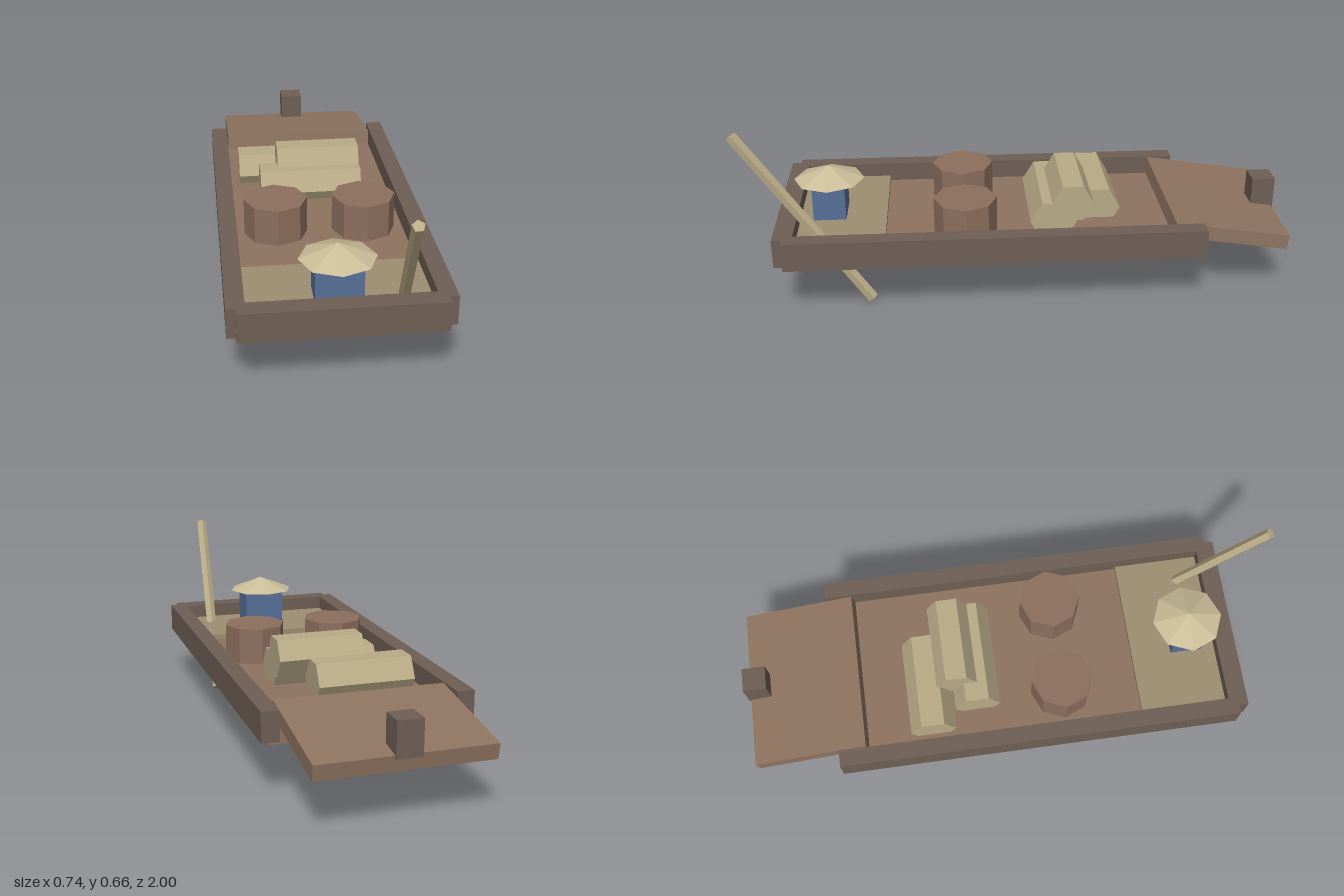
import * as THREE from 'three';

const mat = (color) => new THREE.MeshStandardMaterial({ color, flatShading: true });

export function createModel() {
  const model = new THREE.Group();
  const planks = mat(0x8f7460), rails = mat(0x6f5f55), tan = mat(0xb9ab87);
  const deckMat = mat(0x9e8f70), straw = mat(0xcbbd98), blue = mat(0x587099), wood = mat(0x8c6f5e);

  const add = (name, geometry, material, x, y, z, parent = model) => {
    const mesh = new THREE.Mesh(geometry, material);
    mesh.name = name;
    mesh.position.set(x, y, z);
    parent.add(mesh);
    return mesh;
  };
  // Box given by its lower and upper corners
  const box = (name, material, [x0, y0, z0], [x1, y1, z1]) =>
    add(name, new THREE.BoxGeometry(x1 - x0, y1 - y0, z1 - z0), material,
      (x0 + x1) / 2, (y0 + y1) / 2, (z0 + z1) / 2);

  // Flat hull with its rails and the raised front deck
  box('hullFloor', planks, [-0.337, 0.187, -0.65], [0.337, 0.237, 0.81]);
  box('leftRail', rails, [0.306, 0.204, -0.673], [0.368, 0.31, 0.825]);
  box('rightRail', rails, [-0.368, 0.204, -0.673], [-0.306, 0.31, 0.825]);
  box('frontRail', rails, [-0.337, 0.204, 0.79], [0.337, 0.31, 0.86]);
  box('frontDeck', deckMat, [-0.306, 0.235, 0.47], [0.306, 0.257, 0.795]);

  // Sloping ramp at the back with its post
  const ramp = add('ramp', new THREE.BoxGeometry(0.6, 0.055, 0.425), planks, 0, 0.251, -0.778);
  ramp.rotation.x = -0.155;
  box('rampPost', rails, [-0.044, 0.235, -1], [0.044, 0.357, -0.914]);

  // Two eight-sided barrels
  for (const side of [-1, 1]) {
    add(side > 0 ? 'leftBarrel' : 'rightBarrel',
      new THREE.CylinderGeometry(0.115, 0.115, 0.14, 8), wood, side * 0.16, 0.302, 0.18);
  }

  // Stack of six-sided bundles lying across the hull, flat side up
  const bundles = new THREE.Group();
  bundles.name = 'bundles';
  model.add(bundles);
  for (const [x0, x1, y, z, r] of [
    [-0.27, 0.085, 0.277, -0.317, 0.085],
    [-0.195, 0.192, 0.277, -0.142, 0.085],
    [-0.125, 0.192, 0.348, -0.211, 0.077],
  ]) {
    const geometry = new THREE.CylinderGeometry(r, r, x1 - x0, 6).rotateZ(Math.PI / 2);
    add('bundle', geometry, tan, (x0 + x1) / 2, y, z, bundles);
  }

  // Seated figure with a conical hat
  box('figureBody', blue, [-0.08, 0.25, 0.62], [0.08, 0.395, 0.74]);
  add('strawHat', new THREE.ConeGeometry(0.13, 0.052, 8), straw, 0, 0.418, 0.68);

  // Five-sided pole, leaning forward through the deck
  const top = new THREE.Vector3(0.19, 0.646, 0.985);
  const bottom = new THREE.Vector3(0.236, 0.012, 0.527);
  const pole = add('pole',
    new THREE.CylinderGeometry(0.021, 0.021, top.distanceTo(bottom), 5).rotateY(Math.PI),
    tan, 0, 0, 0);
  pole.position.addVectors(top, bottom).multiplyScalar(0.5);
  pole.quaternion.setFromUnitVectors(new THREE.Vector3(0, 1, 0), top.clone().sub(bottom).normalize());

  return model;
}
